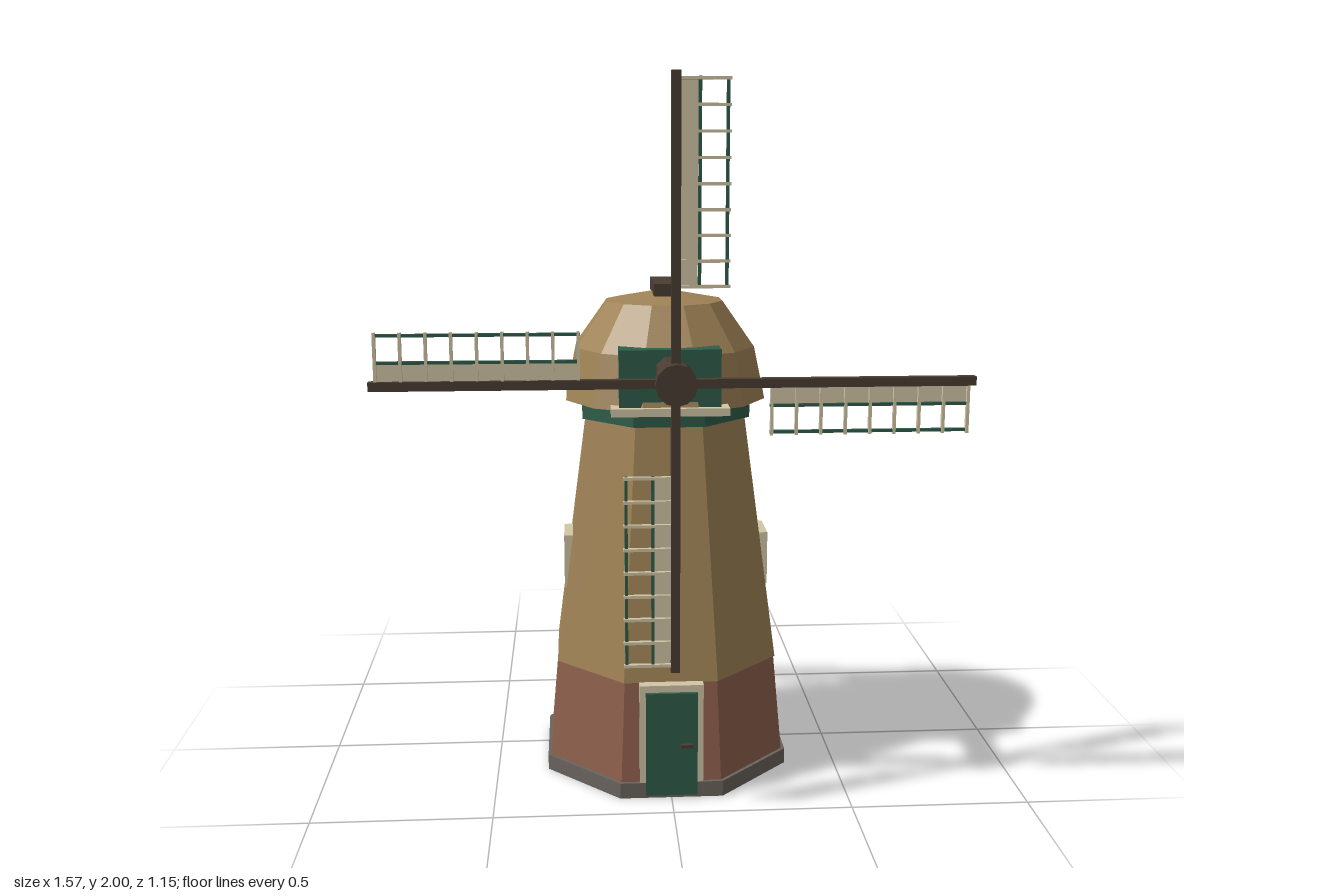
import * as THREE from 'three';

const mat = (name, color) => {
  const m = new THREE.MeshStandardMaterial({ color, flatShading: true });
  m.name = name;
  return m;
};

export function createModel() {
  const straw = mat('straw', 0xa08356);
  const brick = mat('brick', 0x8e604d);
  const stone = mat('stone', 0x6a645e);
  const green = mat('green paint', 0x2f5d4a);
  const cream = mat('cream paint', 0xd2c7a6);
  const wood = mat('dark wood', 0x4a3d32);
  const glass = mat('glass', 0x4a6070);

  const root = new THREE.Group();
  root.name = 'windmill';
  const CZ = 0.055; // tower axis

  const add = (parent, name, geo, material, x = 0, y = 0, z = 0) => {
    const m = new THREE.Mesh(geo, material);
    m.name = name;
    m.position.set(x, y, z);
    parent.add(m);
    return m;
  };
  const box = (parent, name, material, w, h, d, x, y, z) =>
    add(parent, name, new THREE.BoxGeometry(w, h, d), material, x, y, z);

  // Octagonal storey with flat faces to the front, sized by its apothems
  const octagon = (name, material, bottom, top, y0, y1) => {
    const k = 1 / Math.cos(Math.PI / 8);
    const geo = new THREE.CylinderGeometry(top * k, bottom * k, y1 - y0, 8);
    geo.rotateY(Math.PI / 8);
    return add(root, name, geo, material, 0, (y0 + y1) / 2, CZ);
  };
  octagon('plinth', [stone, stone, brick], 0.352, 0.352, 0, 0.045);
  octagon('brickStorey', brick, 0.342, 0.316, 0.045, 0.335);
  octagon('tower', straw, 0.32, 0.226, 0.333, 1.055);
  octagon('capRing', green, 0.24, 0.24, 1.05, 1.105);

  // Domed cap, closed underneath
  const profile = [[0, 1.1], [0.296, 1.1], [0.264, 1.25], [0.171, 1.38], [0, 1.412]]
    .map(([r, y]) => new THREE.Vector2(r, y));
  const dome = new THREE.LatheGeometry(profile, 12).rotateY(Math.PI / 12);
  add(root, 'cap', dome, straw, 0, 0, CZ);
  box(root, 'capRidge', wood, 0.07, 0.035, 0.225, 0, 1.418, CZ);
  box(root, 'frontBoard', green, 0.28, 0.165, 0.1, 0, 1.19, 0.285);
  box(root, 'frontSill', cream, 0.325, 0.022, 0.09, 0, 1.103, 0.312);

  // Door
  for (const s of [-1, 1]) box(root, 'doorPost', cream, 0.018, 0.325, 0.05, s * 0.081, 0.1725, 0.38);
  box(root, 'doorLintel', cream, 0.18, 0.02, 0.05, 0, 0.325, 0.38);
  box(root, 'door', green, 0.146, 0.305, 0.05, 0, 0.1625, 0.39);
  box(root, 'doorHandle', wood, 0.035, 0.01, 0.012, 0.042, 0.16, 0.42);

  // Side windows, sinking into the sloping wall at the bottom
  for (const s of [-1, 1]) {
    const w = new THREE.Group();
    w.name = s > 0 ? 'leftWindow' : 'rightWindow';
    box(w, 'pane', glass, 0.04, 0.145, 0.11, s * 0.272, 0.625, 0.097);
    for (const z of [0.04, 0.154]) box(w, 'jamb', cream, 0.04, 0.155, 0.015, s * 0.277, 0.628, z);
    box(w, 'head', cream, 0.04, 0.016, 0.129, s * 0.277, 0.698, 0.097);
    box(w, 'crossbar', cream, 0.04, 0.01, 0.11, s * 0.275, 0.625, 0.097);
    root.add(w);
  }

  // Windshaft and hub
  const shaft = new THREE.CylinderGeometry(0.042, 0.042, 0.24, 8);
  shaft.rotateY(Math.PI / 8).rotateX(Math.PI / 2);
  add(root, 'windshaft', shaft, wood, 0, 1.215, 0.42);
  const hub = new THREE.CylinderGeometry(0.055, 0.055, 0.068, 12).rotateX(Math.PI / 2);
  add(root, 'hub', hub, wood, 0, 1.215, 0.542);

  // Four sails: spar, wind board, rungs and long laths
  for (let i = 0; i < 4; i++) {
    const sail = new THREE.Group();
    sail.name = 'sail' + (i + 1);
    sail.position.set(0, 1.215, 0.538);
    sail.rotation.z = -i * Math.PI / 2;
    box(sail, 'spar', wood, 0.024, 0.785, 0.024, 0, 0.3925, 0);
    box(sail, 'windBoard', cream, 0.045, 0.515, 0.006, 0.033, 0.508, -0.004);
    for (const x of [0.06, 0.13]) box(sail, 'lath', green, 0.008, 0.525, 0.01, x, 0.508, 0);
    for (let r = 0; r < 9; r++)
      box(sail, 'rung', cream, 0.128, 0.008, 0.012, 0.074, 0.25 + r * 0.0645, 0.003);
    root.add(sail);
  }

  // Tail pole, braces and crossbar behind
  const beam = (name, material, a, b, t) => {
    const from = new THREE.Vector3(...a), to = new THREE.Vector3(...b);
    const m = box(root, name, material, t, t, from.distanceTo(to), 0, 0, 0);
    m.position.copy(from).add(to).multiplyScalar(0.5);
    m.lookAt(to);
  };
  beam('tailPole', wood, [0, 1.13, -0.19], [0, 0.13, -0.56], 0.034);
  for (const s of [-1, 1])
    beam('tailBrace', green, [s * 0.2, 1.105, -0.1], [s * 0.015, 0.16, -0.545], 0.024);
  const bar = new THREE.CylinderGeometry(0.018, 0.018, 0.266, 6).rotateZ(Math.PI / 2);
  add(root, 'tailCrossbar', bar, green, 0, 0.175, -0.533);

  return root;
}
